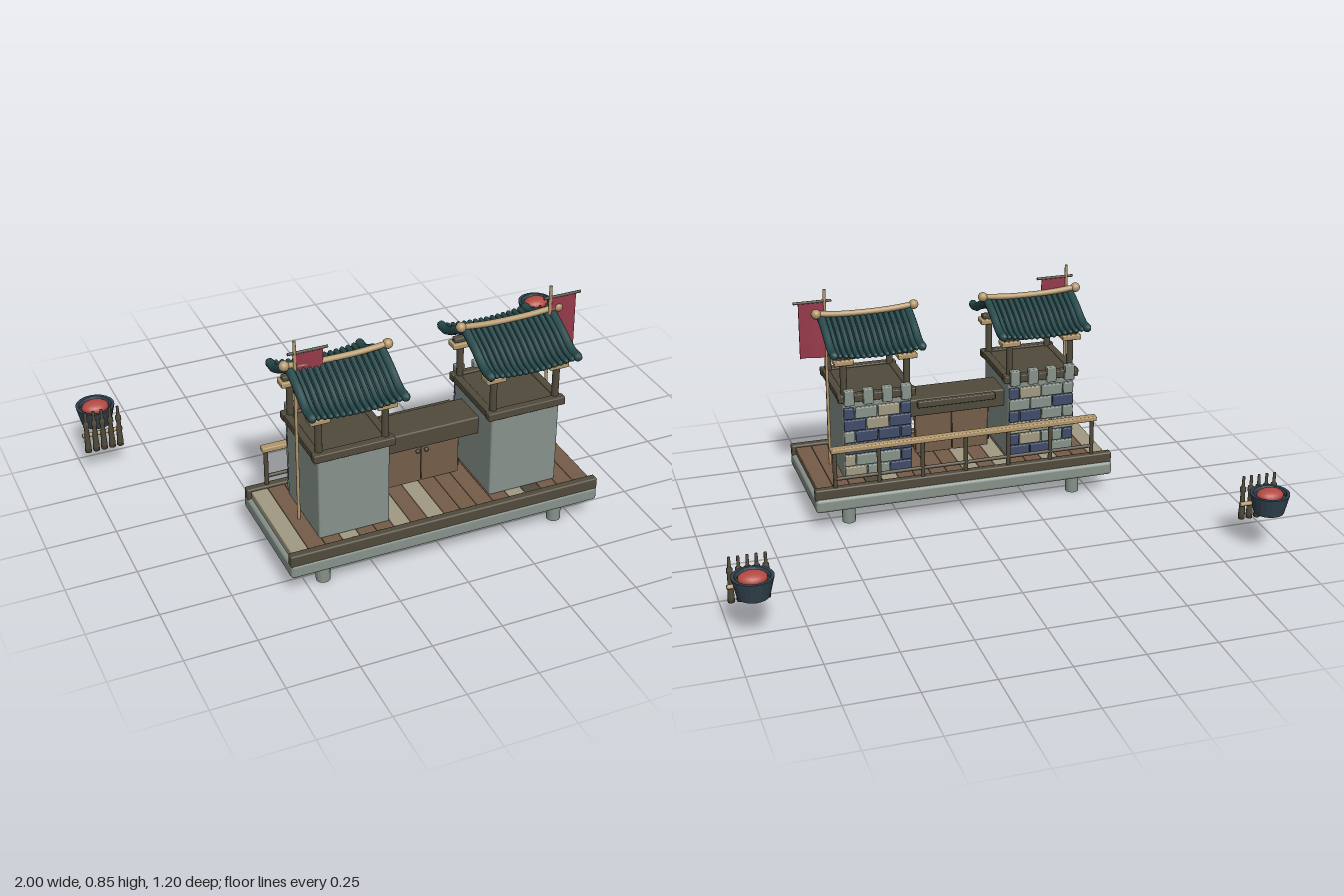
import * as THREE from 'three';
import { RoundedBoxGeometry } from 'three/addons/geometries/RoundedBoxGeometry.js';
import { mergeGeometries } from 'three/addons/utils/BufferGeometryUtils.js';

const mat = (color, side = THREE.FrontSide) => new THREE.MeshStandardMaterial({ color, side });
const STONE = mat(0x87928a), DARK = mat(0x504a3b), TAN = mat(0xb2976b), BROWN = mat(0x755d48);
const BEIGE = mat(0xa19a83), NAVY = mat(0x3f4b68), TEAL = mat(0x26484a, THREE.DoubleSide);
const RED = mat(0x96394a, THREE.DoubleSide), IRON = mat(0x32424f, THREE.DoubleSide), COALS = mat(0xb24a42);

let seed = 7;
const rand = () => (seed = (seed * 16807) % 2147483647) / 2147483647;

function add(parent, name, geo, material, x = 0, y = 0, z = 0) {
  const mesh = new THREE.Mesh(geo, material);
  mesh.name = name;
  mesh.position.set(x, y, z);
  parent.add(mesh);
  return mesh;
}
const box = (p, name, m, w, h, d, x, y, z, r = 0.004) =>
  add(p, name, new RoundedBoxGeometry(w, h, d, 2, r), m, x, y, z);
const rod = (p, name, m, r, h, x, y, z, rTop = r) =>
  add(p, name, new THREE.CylinderGeometry(rTop, r, h, 14), m, x, y, z);
function rodX(p, name, m, r, len, x, y, z) {
  rod(p, name, m, r, len, x, y, z).rotation.z = Math.PI / 2;
}
function group(parent, name, x = 0, y = 0, z = 0) {
  const g = new THREE.Group();
  g.name = name;
  g.position.set(x, y, z);
  parent.add(g);
  return g;
}

// Sagging roof slope, with the eaves lifting toward the gable ends
const slope = new THREE.CatmullRomCurve3([[0, 0.738], [0.07, 0.703], [0.13, 0.666], [0.16, 0.653], [0.195, 0.65]]
  .map(([s, y]) => new THREE.Vector3(0, y, s)));
function roofPoint(x, t, side) {
  const p = slope.getPoint(t);
  return new THREE.Vector3(x, p.y + 0.016 * t * (x / 0.17) ** 2, p.z * side);
}

function buildRoof(parent) {
  const roof = group(parent, 'roof');
  for (const side of [-1, 1]) {
    const sheet = new THREE.PlaneGeometry(0.34, 1, 12, 12);
    const pos = sheet.attributes.position;
    for (let i = 0; i < pos.count; i++) {
      const p = roofPoint(pos.getX(i), 0.5 - pos.getY(i), side);
      pos.setXYZ(i, p.x, p.y - 0.003, p.z);
    }
    sheet.computeVertexNormals();
    add(roof, 'roofSheet', sheet, TEAL);

    // Round tile rows with domed ends, thicker along the gables
    const tiles = [];
    const count = 16;
    for (let i = 0; i < count; i++) {
      const end = i === 0 || i === count - 1;
      const x = -0.162 + (0.324 * i) / (count - 1), r = end ? 0.016 : 0.009;
      const pts = [0, 0.25, 0.5, 0.75, 1].map(t => roofPoint(x, t * 0.95, side));
      tiles.push(new THREE.TubeGeometry(new THREE.CatmullRomCurve3(pts), 14, r, 8));
      tiles.push(new THREE.SphereGeometry(r, 8, 6).translate(pts[4].x, pts[4].y, pts[4].z));
    }
    add(roof, 'roofTiles', mergeGeometries(tiles), TEAL);
  }
  // Ridge pole
  const ridge = new THREE.CatmullRomCurve3([[-0.18, 0.758], [-0.09, 0.75], [0, 0.748], [0.09, 0.75], [0.18, 0.758]]
    .map(([x, y]) => new THREE.Vector3(x, y, 0)));
  add(roof, 'ridge', new THREE.TubeGeometry(ridge, 20, 0.011, 10), TAN);
  for (const s of [-1, 1]) add(roof, 'ridgeKnob', new THREE.SphereGeometry(0.018, 16, 12), TAN, s * 0.182, 0.758, 0);
}

function buildTower(parent, x) {
  const t = group(parent, 'tower', x, 0, 0.378);
  box(t, 'towerBody', STONE, 0.255, 0.31, 0.288, 0, 0.309, 0, 0.008);

  // Facing stones on the back wall, in running bond
  for (let row = 0; row < 6; row++) {
    const cuts = row % 2 ? [-0.128, -0.085, 0, 0.085, 0.128] : [-0.128, -0.043, 0.043, 0.128];
    for (let i = 0; i < cuts.length - 1; i++) {
      const m = [STONE, NAVY, BEIGE, STONE, NAVY][Math.floor(rand() * 5)];
      box(t, 'facingStone', m, cuts[i + 1] - cuts[i] - 0.004, 0.043, 0.016,
        (cuts[i] + cuts[i + 1]) / 2, 0.187 + row * 0.0465, -0.148);
    }
  }
  for (let i = 0; i < 4; i++) box(t, 'merlon', STONE, 0.037, 0.06, 0.026, -0.1065 + i * 0.071, 0.485, -0.155);

  // Lookout floor and its edge beams
  box(t, 'lookoutFloor', DARK, 0.285, 0.022, 0.3, 0, 0.475, 0);
  for (const s of [-1, 1]) {
    box(t, 'edgeBeam', DARK, 0.29, 0.03, 0.03, 0, 0.478, s * 0.14);
    box(t, 'edgeBeam', DARK, 0.026, 0.022, 0.31, s * 0.128, 0.48, 0);
    box(t, 'roofBeam', DARK, 0.29, 0.018, 0.026, 0, 0.634, s * 0.127);
    for (const sx of [-1, 1]) {
      rod(t, 'lookoutPost', DARK, 0.0125, 0.13, sx * 0.118, 0.55, s * 0.127);
      box(t, 'postCap', TAN, 0.072, 0.02, 0.048, sx * 0.118, 0.616, s * 0.127);
    }
  }
  buildRoof(t);
}

function buildFlag(parent, x) {
  const f = group(parent, 'flag', x, 0, 0.387);
  rod(f, 'flagPole', TAN, 0.0055, 0.69, 0, 0.502, 0);
  rodX(f, 'flagCrossbar', DARK, 0.005, 0.14, 0.045, 0.803, 0);
  const cloth = new THREE.BoxGeometry(0.094, 0.213, 0.005, 10, 6, 1);
  const pos = cloth.attributes.position;
  for (let i = 0; i < pos.count; i++) {
    pos.setZ(i, pos.getZ(i) + 0.006 * Math.sin(pos.getX(i) * 60) * (0.5 - pos.getY(i) / 0.213));
  }
  cloth.computeVertexNormals();
  add(f, 'flagCloth', cloth, RED, 0.05, 0.695, 0);
}

function buildPlatform(parent) {
  const p = group(parent, 'platform');
  box(p, 'baseSlab', STONE, 1.145, 0.052, 0.46, 0, 0.104, 0.368, 0.012);
  for (const x of [-0.438, 0.438]) for (const z of [0.535, 0.21]) rod(p, 'foot', STONE, 0.025, 0.085, x, 0.0425, z);
  for (let i = 0; i < 18; i++) {
    const m = [BROWN, BEIGE, BROWN, BROWN, DARK, BROWN, BEIGE][(i * 3 + 4) % 7];
    const plank = i === 0 || i === 8 ? BEIGE : i === 7 || i === 9 || i === 10 || i === 17 ? BROWN : m;
    box(p, 'plank', plank, 0.06, 0.03, 0.4, -0.527 + i * 0.062, 0.142, 0.368);
  }
  for (const z of [0.58, 0.163]) box(p, 'deckBeam', DARK, 1.145, 0.045, 0.03, 0, 0.144, z, 0.006);

  // Back railing
  const r = group(p, 'railing', 0, 0, 0.163);
  box(r, 'topRail', TAN, 1.02, 0.019, 0.03, 0, 0.312, 0);
  rodX(r, 'lowerRail', DARK, 0.007, 1.0, 0, 0.198, 0);
  for (let i = 0; i < 7; i++) rod(r, 'railPost', DARK, 0.008, 0.15, -0.495 + i * 0.165, 0.234, 0);
}

function buildGate(parent) {
  const g = group(parent, 'gate');
  box(g, 'lintel', DARK, 0.39, 0.068, 0.135, 0, 0.383, 0.355, 0.006);
  box(g, 'backBeam', DARK, 0.3, 0.026, 0.02, 0, 0.4, 0.282);
  for (const s of [-1, 1]) {
    box(g, 'door', BROWN, 0.14, 0.178, 0.028, s * 0.0715, 0.262, 0.355);
    add(g, 'doorKnob', new THREE.SphereGeometry(0.008, 10, 8), DARK, s * 0.016, 0.3, 0.372);
    for (const y of [0.205, 0.32]) rod(g, 'hinge', DARK, 0.006, 0.025, s * 0.144, y, 0.355);
  }
}

// Coal bucket with a rack of five staves in front of it
function buildSupplies(parent, x, z) {
  const g = group(parent, 'supplies', x, 0, z);
  const profile = [[0, 0.16], [0.054, 0.16], [0.071, 0.232], [0.06, 0.232], [0.055, 0.218], [0, 0.218]]
    .map(([r, y]) => new THREE.Vector2(r, y));
  const bucket = new THREE.LatheGeometry(profile, 20).toNonIndexed();
  bucket.computeVertexNormals();
  add(g, 'bucket', bucket, IRON);
  const coals = add(g, 'coals', new THREE.SphereGeometry(0.05, 18, 12), COALS, 0, 0.224, 0);
  coals.scale.set(1, 0.48, 0.8);

  const rack = group(g, 'staveRack', 0, 0, 0.09);
  rodX(rack, 'rackRail', TAN, 0.008, 0.148, 0, 0.16, -0.012);
  const stave = [[0, 0.098], [0.012, 0.098], [0.012, 0.118], [0.009, 0.165], [0.008, 0.2], [0.011, 0.205],
    [0.011, 0.22], [0.006, 0.225], [0.005, 0.262], [0, 0.264]].map(([r, y]) => new THREE.Vector2(r, y));
  for (let i = 0; i < 5; i++) add(rack, 'stave', new THREE.LatheGeometry(stave, 10), DARK, -0.06 + i * 0.03, 0, 0);
}

export function createModel() {
  const model = new THREE.Group();
  model.name = 'gatehouse';
  buildPlatform(model);
  buildGate(model);
  for (const x of [-0.315, 0.315]) buildTower(model, x);
  for (const x of [-0.463, 0.463]) buildFlag(model, x);
  buildSupplies(model, -0.925, -0.473);
  buildSupplies(model, 0.925, -0.528);
  return model;
}
